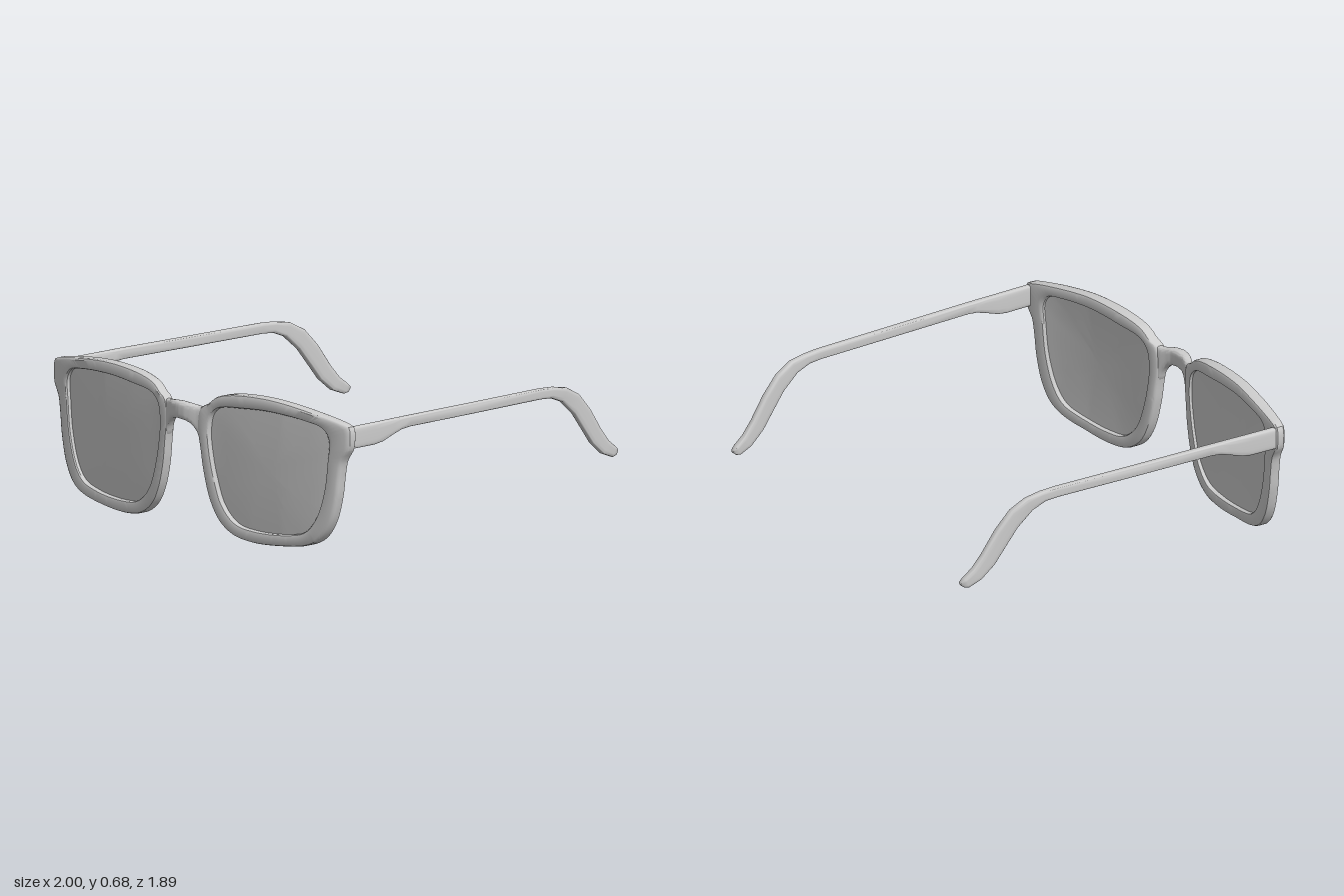
import * as THREE from 'three';
import { toCreasedNormals } from 'three/addons/utils/BufferGeometryUtils.js';

const material = new THREE.MeshStandardMaterial({ color: 0xcccccc });

// Piecewise interpolation through [position, value] pairs
function lookup(table, t) {
  if (t <= table[0][0]) return table[0][1];
  for (let i = 1; i < table.length; i++) {
    const [a, va] = table[i - 1], [b, vb] = table[i];
    if (t <= b) return va + ((vb - va) * (t - a)) / (b - a);
  }
  return table[table.length - 1][1];
}

// Wrap of the frame: front and back depth by distance from the middle
const FRONT = [[0, 0.945], [0.04, 0.941], [0.07, 0.931], [0.1, 0.918], [0.14, 0.908], [0.2, 0.9],
  [0.4, 0.885], [0.6, 0.866], [0.8, 0.838], [1, 0.8]];
const BACK = [[0, 0.888], [0.04, 0.885], [0.07, 0.875], [0.1, 0.862], [0.14, 0.851], [0.2, 0.843],
  [0.35, 0.823], [0.6, 0.802], [0.8, 0.774], [1, 0.745]];
const front = (x) => lookup(FRONT, Math.abs(x));
const back = (x) => lookup(BACK, Math.abs(x));

// Skin over closed rings of [x, y, z]; side = -1 mirrors it across x
function loft(name, rings, { side = 1, loop = false, crease = 0.6 } = {}) {
  const n = rings[0].length, m = rings.length, pos = [], idx = [];
  rings.forEach((r) => r.forEach(([x, y, z]) => pos.push(x * side, y, z)));
  const tri = (a, b, c) => (side > 0 ? idx.push(a, b, c) : idx.push(a, c, b));
  for (let i = 0; i < (loop ? m : m - 1); i++) {
    for (let j = 0; j < n; j++) {
      const k = (j + 1) % n, i2 = (i + 1) % m;
      const a = i * n + j, b = i2 * n + j, c = i2 * n + k, d = i * n + k;
      tri(a, b, c);
      tri(a, c, d);
    }
  }
  if (!loop) {
    [0, m - 1].forEach((i) => {
      const c = pos.length / 3;
      const mid = [0, 1, 2].map((q) => rings[i].reduce((s, p) => s + p[q], 0) / n);
      pos.push(mid[0] * side, mid[1], mid[2]);
      for (let j = 0; j < n; j++) {
        const a = i * n + j, b = i * n + ((j + 1) % n);
        i === 0 ? tri(c, a, b) : tri(c, b, a);
      }
    });
  }
  const geo = new THREE.BufferGeometry();
  geo.setAttribute('position', new THREE.Float32BufferAttribute(pos, 3));
  geo.setIndex(idx);
  const mesh = new THREE.Mesh(toCreasedNormals(geo, crease), material);
  mesh.name = name;
  return mesh;
}

// Rounded rectangle of half size 1, counter-clockwise
function roundedSection(count = 24, power = 0.4) {
  return Array.from({ length: count }, (_, i) => {
    const a = ((i + 0.5) / count) * Math.PI * 2, c = Math.cos(a), s = Math.sin(a);
    return [Math.sign(c) * Math.abs(c) ** power, Math.sign(s) * Math.abs(s) ** power];
  });
}

// Smooth closed outline sampled at even angles around the lens centre
const CX = 0.53, CY = 0.35, STEPS = 160;
function outline(points) {
  const curve = new THREE.CatmullRomCurve3(points.map(([x, y]) => new THREE.Vector3(x, y, 0)), true, 'centripetal');
  const polar = curve.getPoints(800).slice(0, 800).map((p) => {
    const a = Math.atan2(p.y - CY, p.x - CX);
    return [a, Math.hypot(p.x - CX, p.y - CY)];
  }).sort((p, q) => p[0] - q[0]);
  return Array.from({ length: STEPS }, (_, i) => {
    const a = -Math.PI + ((i + 0.5) / STEPS) * Math.PI * 2, r = lookup(polar, a);
    return [CX + r * Math.cos(a), CY + r * Math.sin(a)];
  });
}

const OUTER = outline([[0.12, 0.59], [0.16, 0.613], [0.21, 0.65], [0.3, 0.675], [0.45, 0.688], [0.6, 0.686],
  [0.8, 0.662], [0.985, 0.625], [0.998, 0.615], [0.998, 0.525], [0.99, 0.505], [0.96, 0.46], [0.945, 0.39],
  [0.93, 0.28], [0.895, 0.16], [0.84, 0.08], [0.76, 0.038], [0.6, 0.013], [0.43, 0.005], [0.31, 0.025],
  [0.225, 0.08], [0.17, 0.17], [0.133, 0.3], [0.118, 0.4], [0.108, 0.46], [0.105, 0.53]]);
const HOLE = outline([[0.163, 0.48], [0.178, 0.56], [0.22, 0.6], [0.38, 0.622], [0.55, 0.631], [0.75, 0.618],
  [0.85, 0.597], [0.885, 0.55], [0.88, 0.45], [0.86, 0.3], [0.81, 0.165], [0.75, 0.1], [0.65, 0.073],
  [0.45, 0.061], [0.33, 0.08], [0.25, 0.15], [0.2, 0.27], [0.17, 0.4]]);

// Rim section: [outer to inner, back to front], with softened edges
const RIM = [[0, 0.2], [0, 0.78], [0.06, 0.92], [0.2, 1], [0.8, 1], [0.94, 0.95], [1, 0.85],
  [1, 0.15], [0.94, 0.04], [0.8, 0], [0.2, 0], [0.06, 0.07]];

function rim(side) {
  const rings = OUTER.map(([ox, oy], i) => RIM.map(([u, v]) => {
    const x = ox + (HOLE[i][0] - ox) * u, y = oy + (HOLE[i][1] - oy) * u;
    return [x, y, back(x) + (front(x) - back(x)) * v];
  }));
  return loft('rim', rings, { side, loop: true });
}

// Thin curved lens seated inside the rim opening
function lens(side) {
  const radii = [0.05, 0.25, 0.5, 0.75, 0.9, 1.02];
  const sheet = (depth) => radii.map((r) => HOLE.map(([hx, hy]) => {
    const x = CX + (hx - CX) * r, y = CY + (hy - CY) * r;
    return [x, y, front(x) - depth + 0.008 * (1 - r * r)];
  }));
  return loft('lens', [...sheet(0.026), ...sheet(0.042).reverse()], { side });
}

// Arched bridge over the nose
function bridge() {
  const top = [[0, 0.604], [0.05, 0.6], [0.1, 0.591], [0.15, 0.592]];
  const bottom = [[0, 0.525], [0.04, 0.52], [0.065, 0.509], [0.085, 0.49], [0.1, 0.465], [0.115, 0.42], [0.15, 0.4]];
  const section = roundedSection(24, 0.5), rings = [];
  for (let i = -24; i <= 24; i++) {
    const x = (i / 24) * 0.15, inset = 0.005 * Math.min(1, Math.abs(x) / 0.12);
    const t = lookup(top, Math.abs(x)), b = lookup(bottom, Math.abs(x));
    const f = front(x) - inset, k = back(x) + inset;
    rings.push(section.map(([u, v]) => [x, (t + b) / 2 + (v * (t - b)) / 2, (f + k) / 2 + (u * (f - k)) / 2]));
  }
  return loft('bridge', rings, { crease: 0.8 });
}

// Temple arm: stations of [top z, top y, bottom z, bottom y]
const ARM = [[0.775, 0.616, 0.775, 0.515], [0.62, 0.616, 0.62, 0.515], [0.57, 0.616, 0.57, 0.522],
  [0.5, 0.616, 0.5, 0.546], [0.45, 0.616, 0.45, 0.561], [0.4, 0.616, 0.4, 0.566], [0, 0.614, 0, 0.565],
  [-0.44, 0.613, -0.43, 0.565], [-0.52, 0.608, -0.5, 0.56], [-0.6, 0.594, -0.57, 0.532],
  [-0.68, 0.552, -0.65, 0.462], [-0.756, 0.47, -0.71, 0.384], [-0.83, 0.363, -0.77, 0.305],
  [-0.88, 0.303, -0.84, 0.246], [-0.925, 0.268, -0.905, 0.221], [-0.943, 0.252, -0.928, 0.225],
  [-0.946, 0.242, -0.94, 0.234]];
const ARM_X = [[-0.95, 0.905], [-0.8, 0.918], [-0.6, 0.936], [-0.3, 0.948], [0, 0.957], [0.4, 0.969], [0.78, 0.977]];

function temple(side) {
  const section = roundedSection();
  const rings = ARM.map(([tz, ty, bz, by], i) => {
    const half = i === ARM.length - 1 ? 0.006 : i === ARM.length - 2 ? 0.013 : 0.0175;
    return section.map(([u, v]) => {
      const k = (v + 1) / 2, z = bz + (tz - bz) * k;
      return [lookup(ARM_X, z) + u * half, by + (ty - by) * k, z];
    });
  });
  return loft('temple', rings, { side, crease: 0.7 });
}

export function createModel() {
  const model = new THREE.Group();
  model.name = 'glasses';
  model.add(bridge());
  for (const [label, side] of [['left', 1], ['right', -1]]) {
    for (const part of [rim(side), lens(side), temple(side)]) {
      part.name = label + part.name[0].toUpperCase() + part.name.slice(1);
      model.add(part);
    }
  }
  return model;
}
